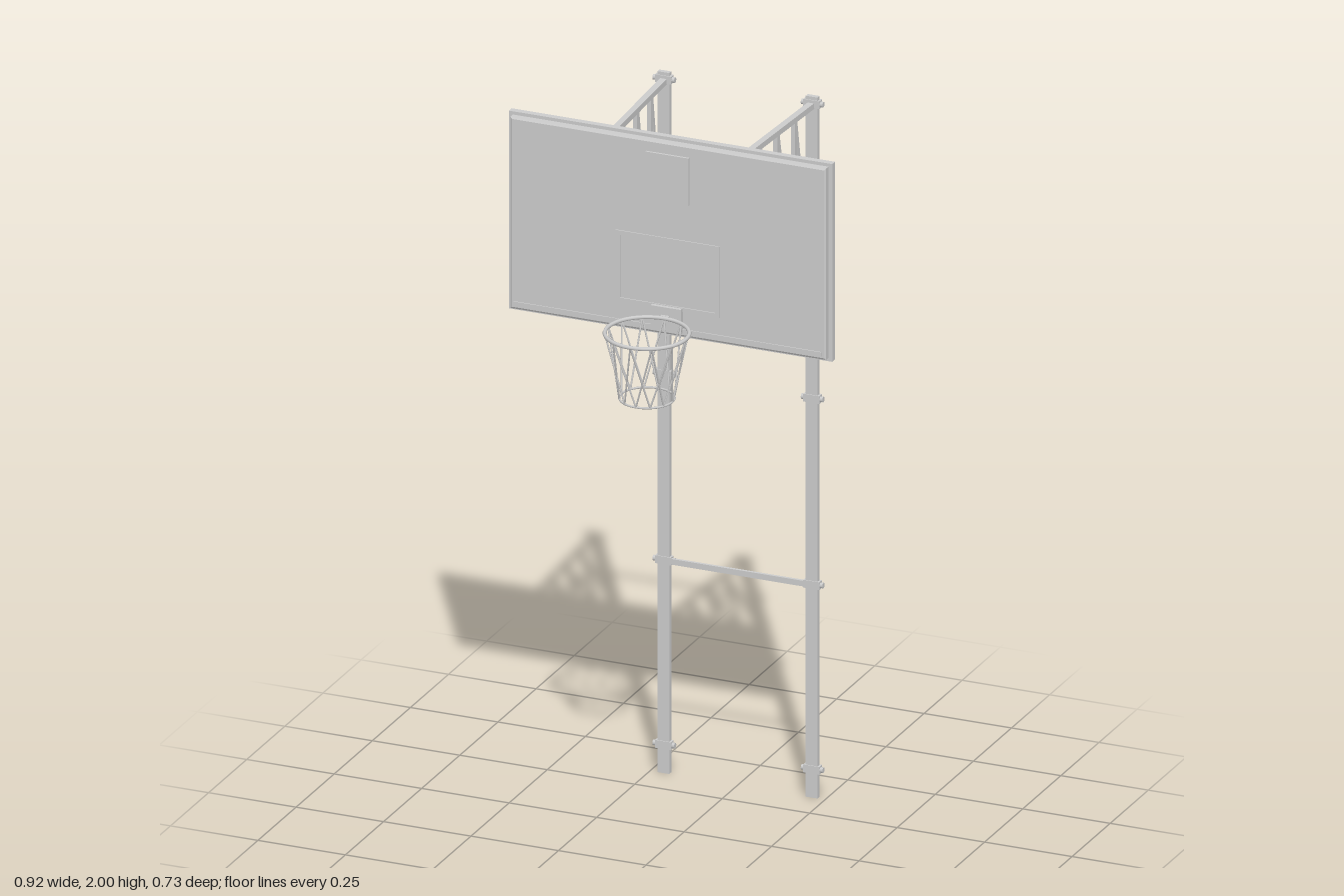
import * as THREE from 'three';

export function createModel() {
  const root = new THREE.Group();
  const steel = new THREE.MeshStandardMaterial({ color: 0xcccccc });
  steel.name = 'light grey steel';
  const V = (x, y, z) => new THREE.Vector3(x, y, z);

  function add(parent, name, geometry, x = 0, y = 0, z = 0) {
    const mesh = new THREE.Mesh(geometry, steel);
    mesh.name = name;
    mesh.position.set(x, y, z);
    parent.add(mesh);
    return mesh;
  }
  const box = (parent, name, w, h, d, x, y, z) =>
    add(parent, name, new THREE.BoxGeometry(w, h, d), x, y, z);

  // Square bar between two points
  function bar(parent, name, a, b, w, h) {
    const m = box(parent, name, w, h, a.distanceTo(b), 0, 0, 0);
    m.position.copy(a).add(b).multiplyScalar(0.5);
    m.lookAt(b);
  }
  // Round rod between two points
  function rod(parent, name, a, b, r, sides = 6) {
    const m = add(parent, name, new THREE.CylinderGeometry(r, r, a.distanceTo(b), sides));
    m.position.copy(a).add(b).multiplyScalar(0.5);
    m.quaternion.setFromUnitVectors(V(0, 1, 0), b.clone().sub(a).normalize());
  }
  function group(name, parent = root) {
    const g = new THREE.Group();
    g.name = name;
    parent.add(g);
    return g;
  }

  // Backboard: rear frame plate and a front panel with a slim bevel
  const board = group('backboard');
  box(board, 'rearFrame', 0.924, 0.56, 0.018, 0, 1.72, 0.079);
  const face = new THREE.Shape();
  face.moveTo(-0.446, -0.266).lineTo(0.446, -0.266).lineTo(0.446, 0.266).lineTo(-0.446, 0.266).closePath();
  add(board, 'frontPanel', new THREE.ExtrudeGeometry(face, {
    depth: 0.016, bevelEnabled: true, bevelThickness: 0.003, bevelSize: 0.005, bevelSegments: 1,
  }), 0, 1.72, 0.087);

  // Raised board markings
  box(board, 'topPlate', 0.124, 0.134, 0.006, 0, 1.892, 0.109);
  box(board, 'lowerStrip', 0.88, 0.012, 0.004, 0, 1.465, 0.107);
  for (const y of [1.526, 1.716]) box(board, 'targetRail', 0.296, 0.012, 0.004, 0, y, 0.107);
  for (const s of [-1, 1]) box(board, 'targetSide', 0.012, 0.178, 0.004, s * 0.142, 1.621, 0.107);

  // Hoop: bracket, rim and tapered net
  const hoop = group('hoop');
  box(hoop, 'rimBracket', 0.086, 0.07, 0.014, 0, 1.495, 0.113);
  box(hoop, 'rimNeck', 0.024, 0.01, 0.014, 0, 1.503, 0.125);
  const cz = 0.243, yTop = 1.504, yLow = 1.321, rTop = 0.111, rLow = 0.073;
  add(hoop, 'rim', new THREE.TorusGeometry(rTop, 0.0055, 8, 40), 0, yTop, cz).rotation.x = Math.PI / 2;
  add(hoop, 'netHem', new THREE.TorusGeometry(rLow, 0.003, 6, 32), 0, yLow, cz).rotation.x = Math.PI / 2;
  const net = group('net', hoop);
  const count = 12, step = Math.PI * 2 / count;
  const onRing = (r, y, i) => V(r * Math.sin(i * step), y, cz + r * Math.cos(i * step));
  for (let i = 0; i < count; i++) {
    for (const s of [-1, 1]) {
      rod(net, 'netStrand', onRing(rTop, yTop, i), onRing(rLow, yLow, i + s), 0.0025, 5);
    }
  }

  // Posts with clamps, and the support arms to the board
  const zPost = -0.357, zFront = 0.06;
  for (const s of [-1, 1]) {
    const side = group(s > 0 ? 'leftSupport' : 'rightSupport');
    box(side, 'post', 0.034, 1.985, 0.013, s * 0.212, 0.9925, zPost);
    for (const y of [0.08, 0.603, 1.13, 1.66, 1.965]) {
      box(side, 'clamp', 0.046, 0.022, 0.018, s * 0.212, y, zPost);
      rod(side, 'clampBolt', V(s * 0.212 - 0.031, y, zPost), V(s * 0.212 + 0.031, y, zPost), 0.008, 8);
    }

    // Truss lies in a plane that narrows slightly toward the board
    const truss = group('truss', side);
    const at = (z, y) => V(s * (0.19 + 0.021 * (zFront - z) / 0.415), y, z);
    const lowY = (z) => 1.655 - 0.242 * (zFront - z) / 0.415;
    const yHi = 1.96;
    bar(truss, 'topChord', at(zFront, yHi), at(-0.352, yHi), 0.018, 0.016);
    bar(truss, 'bottomChord', at(zFront, lowY(zFront)), at(-0.352, lowY(-0.352)), 0.018, 0.016);
    const stations = [0.054, -0.043, -0.145, -0.249, -0.35];
    for (let i = 0; i < 4; i++) {
      const z = stations[i], next = stations[i + 1];
      bar(truss, 'upright', at(z, lowY(z)), at(z, yHi), 0.012, 0.014);
      bar(truss, 'diagonal', at(z, yHi), at(next + 0.006, lowY(next)), 0.012, 0.012);
    }

    // Round ball ornament set into the truss
    const ball = group('ballOrnament', truss);
    ball.position.copy(at(-0.168, 1.773));
    ball.rotation.y = Math.PI / 2 + s * 0.05;
    add(ball, 'ornamentRing', new THREE.TorusGeometry(0.044, 0.004, 6, 28));
    const corner = (i, r) => V(r * Math.sin(i * Math.PI * 0.4), r * Math.cos(i * Math.PI * 0.4), 0);
    for (let i = 0; i < 5; i++) {
      rod(ball, 'ornamentEdge', corner(i, 0.018), corner(i + 1, 0.018), 0.0035);
      rod(ball, 'ornamentSpoke', corner(i, 0.018), corner(i, 0.044), 0.0035);
    }
  }

  // Cross ties between the posts
  for (const y of [0.603, 1.66]) box(root, 'crossTie', 0.40, 0.016, 0.008, 0, y, -0.352);

  return root;
}
